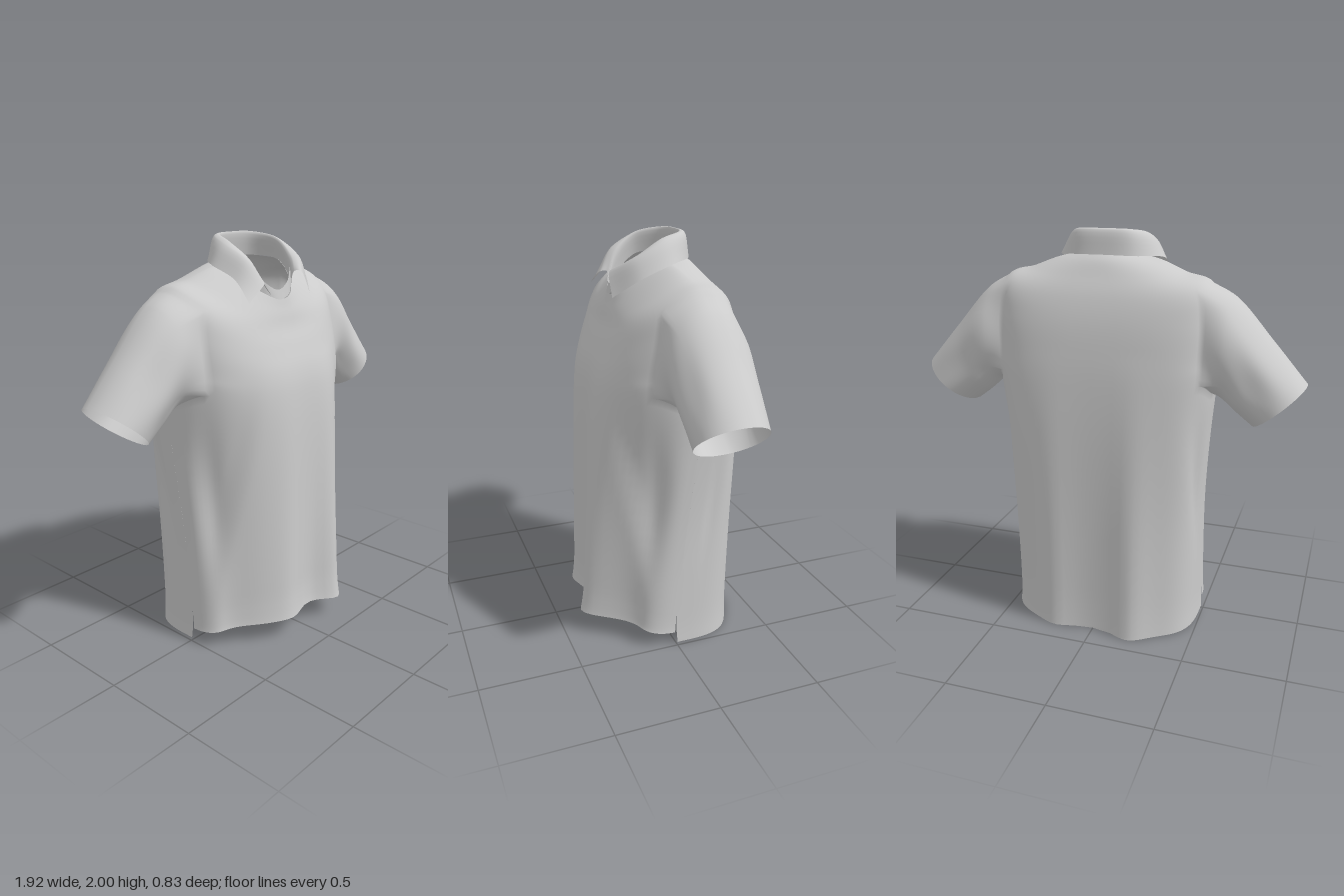
import * as THREE from 'three';
import { mergeGeometries, mergeVertices } from 'three/addons/utils/BufferGeometryUtils.js';

const V = (x, y, z) => new THREE.Vector3(x, y, z);
const { lerp, smoothstep, degToRad } = THREE.MathUtils;
const bump = (d, width) => Math.exp(-((d / width) ** 2));

// Torso rings from hem to neck: side x, y, z, then front y, z, then back y, z
const RINGS = [
  [0.49, 0.01, 0.0, 0.115, 0.31, 0.0, -0.36],
  [0.485, 0.17, 0.0, 0.25, 0.312, 0.17, -0.362],
  [0.488, 0.6, -0.04, 0.62, 0.318, 0.6, -0.368],
  [0.51, 1.0, -0.08, 1.02, 0.322, 1.0, -0.37],
  [0.53, 1.25, -0.09, 1.25, 0.315, 1.26, -0.364],
  [0.53, 1.42, -0.09, 1.38, 0.295, 1.43, -0.352],
  [0.53, 1.6, -0.09, 1.49, 0.253, 1.58, -0.33],
  [0.5, 1.762, -0.09, 1.57, 0.215, 1.7, -0.295],
  [0.38, 1.803, -0.08, 1.63, 0.195, 1.79, -0.25],
  [0.27, 1.845, -0.06, 1.67, 0.18, 1.85, -0.215],
  [0.185, 1.865, -0.04, 1.7, 0.17, 1.882, -0.18],
];
const PER_RING = 6, COLS = 48, STEP = 180 / COLS;
const ROWS = (RINGS.length - 1) * PER_RING;
const ARM_LOW = 24, ARM_HIGH = 42, ARM_HALF = 8; // armhole in grid rows and columns

// Smooth blend of the ring values at height parameter v
function ringAt(v) {
  const last = RINGS.length - 1;
  const i = Math.min(Math.floor(v), last - 1), t = v - i;
  const [a, b, c, d] = [-1, 0, 1, 2].map((o) => RINGS[Math.min(Math.max(i + o, 0), last)]);
  return b.map((_, k) => b[k] + 0.5 * t * (c[k] - a[k]
    + t * (2 * a[k] - 5 * b[k] + 4 * c[k] - d[k] + t * (3 * (b[k] - c[k]) + d[k] - a[k]))));
}
const roundness = (v, front) => lerp(front ? 0.82 : 0.58, 1, smoothstep(v, 6.5, 9.5));

// Point on the torso; angle 0 is the front middle, 90 the left side
function torso(v, angle, front) {
  const [xs, ys, zs, yf, zf, yb, zb] = ringAt(v);
  const p = roundness(v, front), a = degToRad(angle);
  const s = Math.sin(a), c = Math.abs(Math.cos(a));
  const slit = Math.max(0, 1 - v);
  const sideY = ys + (front ? 0.06 * slit : 0);
  let y = lerp(sideY, front ? yf : yb, c ** 1.3);
  let x = xs * Math.sign(s) * Math.abs(s) ** p;
  let z = lerp(zs, front ? zf : zb, c ** p) + slit * (front ? 0.012 : -0.004);
  // Rounded underside of the armhole
  y += 0.06 * bump(v - 4, 0.7) * smoothstep(c, 0, 0.5) * (1 - smoothstep(c, 0.5, 1));
  // Slanting folds that draw the flanks in below the arms
  const flank = bump(y - 0.8, 0.35);
  if (front) {
    const crease = 0.48 - 0.17 * (y - 0.2);
    z -= 0.035 * flank * smoothstep(Math.abs(x), crease - 0.04, crease + 0.04) * smoothstep(c, 0, 0.5);
    x -= Math.sign(s) * 0.035 * flank * bump(c - 0.45, 0.2);
  } else {
    x -= Math.sign(s) * 0.025 * flank * bump(z + 0.05 + 0.22 * (y - 0.2), 0.06) * smoothstep(c, 0, 0.2);
  }
  // Hanging folds, strongest at the hem
  const fade = Math.max(0, 1 - y / 1.45) * smoothstep(c, 0, 0.65);
  z += fade * (front
    ? 0.115 * bump(x - 0.2, 0.1) + 0.055 * bump(x + 0.13, 0.11) - 0.05 * bump(Math.abs(x) - 0.38, 0.09)
    : -0.06 * bump(x + 0.2, 0.1) - 0.035 * bump(x - 0.2, 0.1));
  return V(x, y, z);
}

// Grid of quads through point(i, j); skip leaves quads out
function patch(nu, nv, point, skip = () => false) {
  const pos = [], index = [];
  for (let j = 0; j <= nv; j++) {
    for (let i = 0; i <= nu; i++) {
      pos.push(...point(i, j).toArray());
      if (i === nu || j === nv || skip(i, j)) continue;
      const a = j * (nu + 1) + i, b = a + 1, c = a + nu + 1, d = c + 1;
      index.push(a, b, d, a, d, c);
    }
  }
  const geo = new THREE.BufferGeometry();
  geo.setAttribute('position', new THREE.Float32BufferAttribute(pos, 3));
  geo.setIndex(index);
  return geo;
}

function panel(front) {
  const inArmhole = (i, j) => j >= ARM_LOW && j < ARM_HIGH && (i < ARM_HALF || i >= COLS - ARM_HALF);
  return patch(COLS, ROWS, (i, j) => torso(j / PER_RING, (front ? -90 : 90) + i * STEP, front), inArmhole);
}

// Sleeve rings: top x, y, bottom x, y, half depth
const SLEEVE = [
  [0.61, 1.7, 0.57, 1.22, 0.195],
  [0.79, 1.505, 0.645, 1.155, 0.178],
  [0.96, 1.31, 0.718, 1.1, 0.17],
];

// Sleeve grown from the edge of the armhole out to a round cuff
function sleeve(side) {
  const loop = [];
  const add = (row, d) => loop.push(torso(row / PER_RING, side * (90 - d * STEP), d >= 0));
  for (let d = -ARM_HALF; d <= ARM_HALF; d++) add(ARM_HIGH, d);
  for (let r = ARM_HIGH - 1; r >= ARM_LOW; r--) add(r, ARM_HALF);
  for (let d = ARM_HALF - 1; d >= -ARM_HALF; d--) add(ARM_LOW, d);
  for (let r = ARM_LOW + 1; r <= ARM_HIGH; r++) add(r, -ARM_HALF);
  if (side < 0) loop.reverse();
  const lines = loop.map((start) => {
    const a = Math.atan2((start.z + 0.085) / 0.2, (start.y - 1.5) / 0.25);
    const along = SLEEVE.map(([tx, ty, bx, by, depth], k) => {
      const t = (1 + Math.cos(a)) / 2;
      const crease = k === 1 ? 0.008 * Math.sin(5 * a) : 0;
      return V(side * lerp(bx, tx, t), lerp(by, ty, t), -0.085 + (depth + crease) * Math.sin(a));
    });
    return new THREE.CatmullRomCurve3([start, ...along]);
  });
  return patch(lines.length - 1, 18, (i, j) => lines[i].getPoint(j / 18));
}

const curve = (pts) => new THREE.CatmullRomCurve3(pts.map((p) => V(...p)));

// Folded collar: neck seam, inner and outer fold, leaf edge, from right front round the back
function collar() {
  const round = (half, right, left) => curve([
    right, ...half.map(([x, y, z]) => [-x, y, z]), [0, half[2][1] + 0.004, half[2][2] - 0.025],
    ...[...half].reverse(), left,
  ]);
  const rails = [
    round([[0.14, 1.765, 0.1], [0.185, 1.86, -0.03], [0.12, 1.876, -0.155]],
      [-0.07, 1.72, 0.16], [0.06, 1.72, 0.165]),
    round([[0.145, 1.885, 0.09], [0.165, 1.965, -0.02], [0.11, 1.99, -0.135]],
      [-0.12, 1.79, 0.145], [0.085, 1.82, 0.165]),
    round([[0.185, 1.89, 0.105], [0.2, 1.955, -0.03], [0.13, 1.985, -0.155]],
      [-0.14, 1.785, 0.175], [0.093, 1.825, 0.2]),
    round([[0.25, 1.805, 0.09], [0.255, 1.862, -0.05], [0.15, 1.875, -0.172]],
      [-0.262, 1.71, 0.19], [0.158, 1.71, 0.21]),
  ];
  const n = 72;
  const across = Array.from({ length: n + 1 }, (_, i) =>
    new THREE.CatmullRomCurve3(rails.map((rail) => rail.getPoint(i / n))));
  return patch(n, 15, (i, j) => across[i].getPoint(j / 15));
}

// Low band closing the collar at the throat
function collarBand() {
  const low = curve([[-0.14, 1.76, 0.105], [-0.08, 1.72, 0.155], [-0.03, 1.7, 0.175], [0.04, 1.715, 0.17], [0.11, 1.75, 0.13]]);
  const high = curve([[-0.14, 1.86, 0.1], [-0.1, 1.785, 0.14], [-0.03, 1.745, 0.165], [0.04, 1.775, 0.16], [0.11, 1.84, 0.12]]);
  return patch(24, 3, (i, j) => low.getPoint(i / 24).lerp(high.getPoint(i / 24), j / 3));
}

// Button strip lying on the chest below the collar
function placket() {
  return patch(4, 24, (i, j) => {
    const v = lerp(5.8, 10, j / 24), x = lerp(-0.03, 0.045, i / 4);
    const ratio = Math.abs(x) / ringAt(v)[0];
    const angle = Math.sign(x) * Math.asin(ratio ** (1 / roundness(v, true)));
    return torso(v, THREE.MathUtils.radToDeg(angle), true).add(V(0, 0, 0.006));
  });
}

export function createModel() {
  const group = new THREE.Group();
  const material = new THREE.MeshStandardMaterial({ color: 0xcccccc, side: THREE.DoubleSide });
  const addMesh = (name, geo) => {
    const mesh = new THREE.Mesh(geo, material);
    mesh.name = name;
    group.add(mesh);
  };

  // Panels and sleeves share smooth normals across their seams
  const cloth = {
    frontPanel: panel(true), backPanel: panel(false), leftSleeve: sleeve(1), rightSleeve: sleeve(-1),
  };
  const whole = mergeVertices(mergeGeometries(Object.values(cloth)), 1e-4);
  whole.computeVertexNormals();
  let start = 0;
  for (const [name, part] of Object.entries(cloth)) {
    const geo = new THREE.BufferGeometry();
    geo.setAttribute('position', whole.attributes.position);
    geo.setAttribute('normal', whole.attributes.normal);
    geo.setIndex(Array.from(whole.index.array.slice(start, start + part.index.count)));
    start += part.index.count;
    addMesh(name, geo);
  }

  for (const [name, geo] of Object.entries({ collar: collar(), collarBand: collarBand(), placket: placket() })) {
    geo.computeVertexNormals();
    addMesh(name, geo);
  }
  return group;
}
